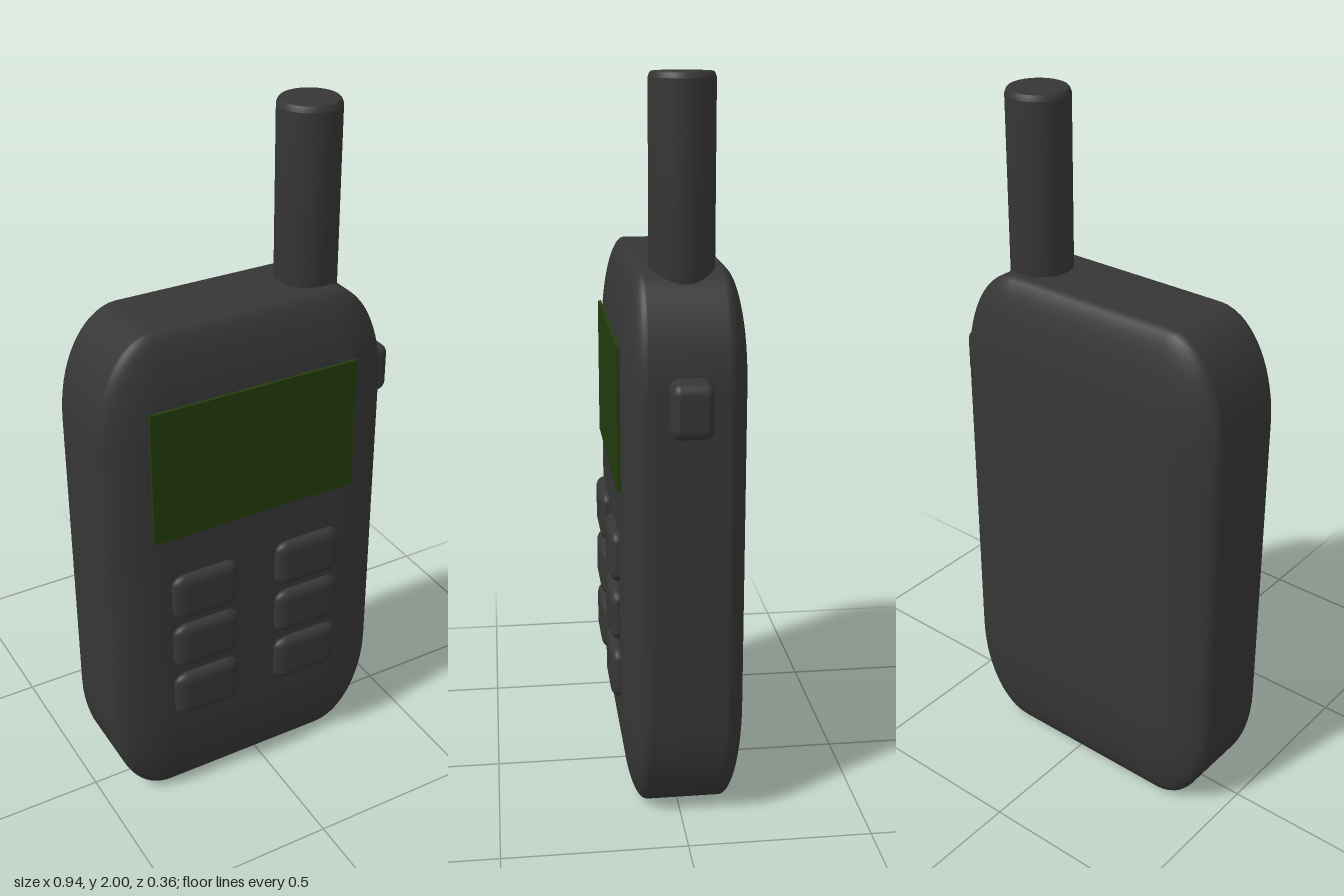
import * as THREE from 'three';
import { RoundedBoxGeometry } from 'three/addons/geometries/RoundedBoxGeometry.js';

export function createModel() {
  const model = new THREE.Group();
  model.name = 'handheldRadio';

  const casing = new THREE.MeshStandardMaterial({ color: 0x363636 });
  casing.name = 'charcoal plastic';
  const display = new THREE.MeshStandardMaterial({ color: 0x223c0e });
  display.name = 'dark green display';

  // One softened unit cube, stretched so its corners become elliptical
  const softCube = new RoundedBoxGeometry(1, 1, 1, 8, 0.2);

  function add(name, geometry, material, position, scale = [1, 1, 1]) {
    const mesh = new THREE.Mesh(geometry, material);
    mesh.name = name;
    mesh.position.set(...position);
    mesh.scale.set(...scale);
    model.add(mesh);
    return mesh;
  }

  // Body
  add('body', softCube, casing, [-0.04, 0.757, -0.014], [0.864, 1.514, 0.338]);

  // Antenna with a slightly softened top rim
  const r = 0.086;
  const profile = [[0, 1.3], [r, 1.3], [r, 1.985], [r, 1.985], [r - 0.004, 1.996], [r - 0.008, 2], [r - 0.008, 2], [0, 2]]
    .map(([x, y]) => new THREE.Vector2(x, y));
  add('antenna', new THREE.LatheGeometry(profile, 40), casing, [0.212, 0, -0.0145]);

  // Screen plate
  add('screen', new THREE.BoxGeometry(0.624, 0.395, 0.009), display, [-0.038, 1.122, 0.1575]);

  // Keypad: two columns of three keys
  for (const x of [-0.197, 0.131]) {
    for (const y of [0.723, 0.552, 0.378]) {
      add('key', softCube, casing, [x, y, 0.13], [0.206, 0.145, 0.1]);
    }
  }

  // Push-to-talk button on the left side
  add('sideButton', softCube, casing, [0.402, 1.188, -0.0145], [0.13, 0.145, 0.108]);

  return model;
}
